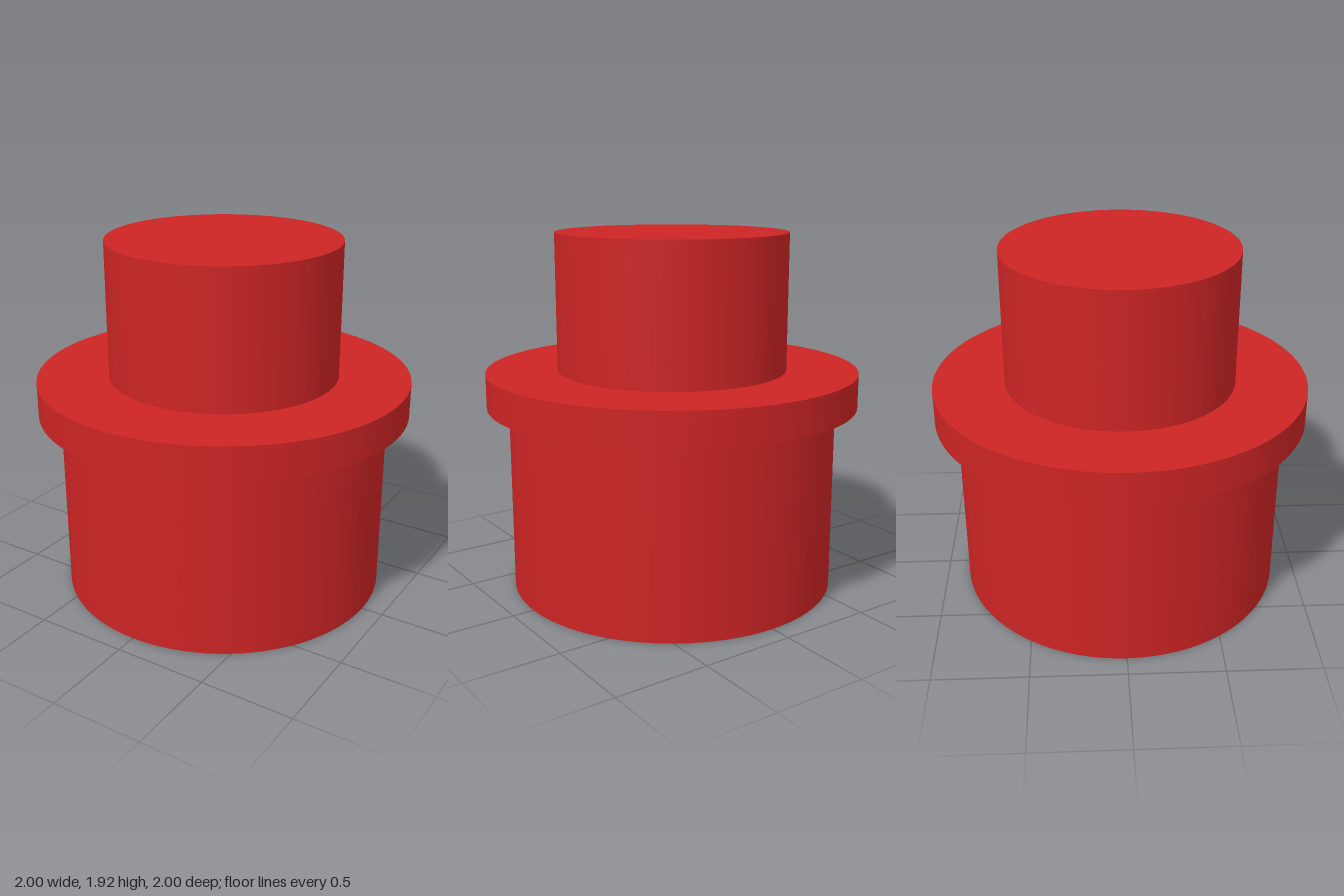
import * as THREE from 'three';
import { mergeGeometries } from 'three/addons/utils/BufferGeometryUtils.js';

const SEGMENTS = 128;

// Revolve each straight run of the profile separately so the edges stay sharp.
function turned(name, profile, material) {
  const bands = profile.slice(1).map((point, i) => new THREE.LatheGeometry(
    [new THREE.Vector2(...profile[i]), new THREE.Vector2(...point)], SEGMENTS));
  const mesh = new THREE.Mesh(mergeGeometries(bands), material);
  mesh.name = name;
  return mesh;
}

export function createModel() {
  const red = new THREE.MeshStandardMaterial({ color: 0xcc2424 });
  red.name = 'red';

  const bodyRadius = 0.883, flangeRadius = 1, plugRadius = 0.618;
  const boreRadius = 0.49, boreDepth = 0.435;
  const flangeBottom = 1.01, flangeTop = 1.195, top = 1.925;

  const model = new THREE.Group();
  model.name = 'flangedPlug';
  model.add(
    // blind hole in the underside: ceiling, then inner wall
    turned('bore', [[0, boreDepth], [boreRadius, boreDepth], [boreRadius, 0]], red),
    // lower body: bottom ring and outer wall
    turned('body', [[boreRadius, 0], [bodyRadius, 0], [bodyRadius, flangeBottom]], red),
    // collar: underside, rim and upper ring
    turned('flange', [[bodyRadius, flangeBottom], [flangeRadius, flangeBottom],
      [flangeRadius, flangeTop], [plugRadius, flangeTop]], red),
    // upper plug: wall and flat top
    turned('plug', [[plugRadius, flangeTop], [plugRadius, top], [0, top]], red),
  );
  return model;
}
